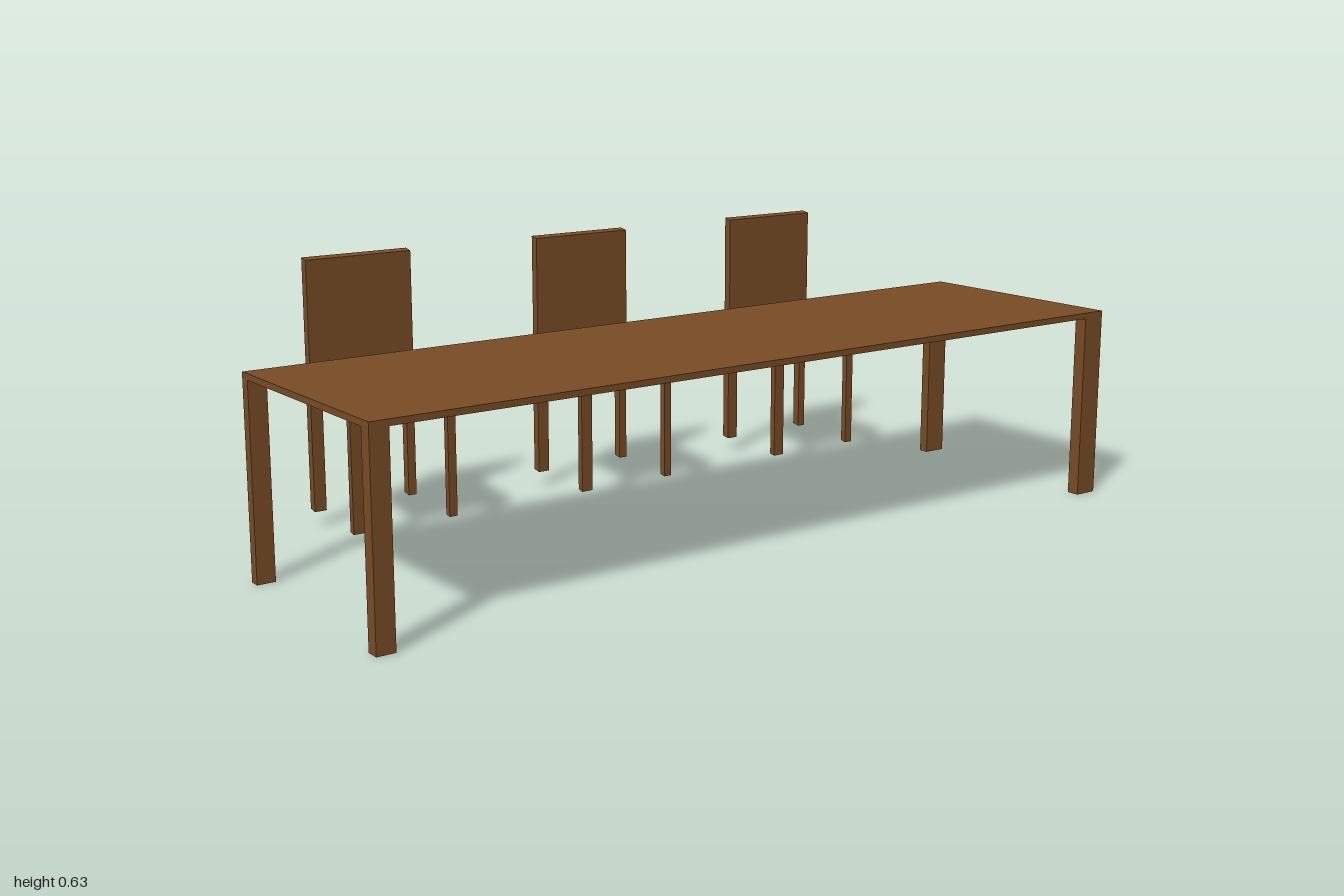
import * as THREE from 'three';

const wood = new THREE.MeshStandardMaterial({ color: 0x7a4c26, flatShading: true });

// Box given by its lower and upper limits on each axis
function block(name, [x0, x1], [y0, y1], [z0, z1]) {
  const mesh = new THREE.Mesh(new THREE.BoxGeometry(x1 - x0, y1 - y0, z1 - z0), wood);
  mesh.position.set((x0 + x1) / 2, (y0 + y1) / 2, (z0 + z1) / 2);
  mesh.name = name;
  return mesh;
}

// Side profile of [z, y] points, extruded from x0 to x1
function slab(name, x0, x1, profile) {
  const shape = new THREE.Shape(profile.map(([z, y]) => new THREE.Vector2(z, y)));
  const geometry = new THREE.ExtrudeGeometry(shape, { depth: x1 - x0, bevelEnabled: false });
  geometry.rotateY(-Math.PI / 2).translate(x1, 0, 0);
  const mesh = new THREE.Mesh(geometry, wood);
  mesh.name = name;
  return mesh;
}

function createTable() {
  const table = new THREE.Group();
  table.name = 'table';
  table.add(block('tableTop', [-1, 1], [0.443, 0.457], [-0.122, 0.438]));
  for (const [side, xs] of [['Right', [-1, -0.957]], ['Left', [0.942, 1]]]) {
    table.add(block('front' + side + 'TableLeg', xs, [0, 0.443], [0.407, 0.438]));
    table.add(block('back' + side + 'TableLeg', xs, [0, 0.443], [-0.122, -0.097]));
  }
  return table;
}

function createChair() {
  const chair = new THREE.Group();
  chair.name = 'chair';
  const width = 0.268;

  // Sloping seat and upright back
  chair.add(slab('seat', 0, width,
    [[-0.218, 0.312], [-0.221, 0.293], [-0.438, 0.336], [-0.435, 0.355]]));
  chair.add(slab('backrest', 0, width,
    [[-0.414, 0.345], [-0.435, 0.35], [-0.435, 0.633], [-0.414, 0.629]]));

  // Legs cut at the same slope as the seat
  for (const [side, x0, x1] of [['Right', 0, 0.03], ['Left', width - 0.021, width]]) {
    chair.add(slab('front' + side + 'Leg', x0, x1,
      [[-0.221, 0.029], [-0.237, 0.032], [-0.237, 0.297], [-0.221, 0.294]]));
    chair.add(slab('back' + side + 'Leg', x0, x1,
      [[-0.417, 0.037], [-0.438, 0.041], [-0.438, 0.337], [-0.417, 0.333]]));
  }
  return chair;
}

export function createModel() {
  const model = new THREE.Group();
  model.name = 'diningSet';
  model.add(createTable());
  // Row of chairs behind the table
  for (const x of [-0.709, -0.092, 0.511]) {
    const chair = createChair();
    chair.position.x = x;
    model.add(chair);
  }
  return model;
}
